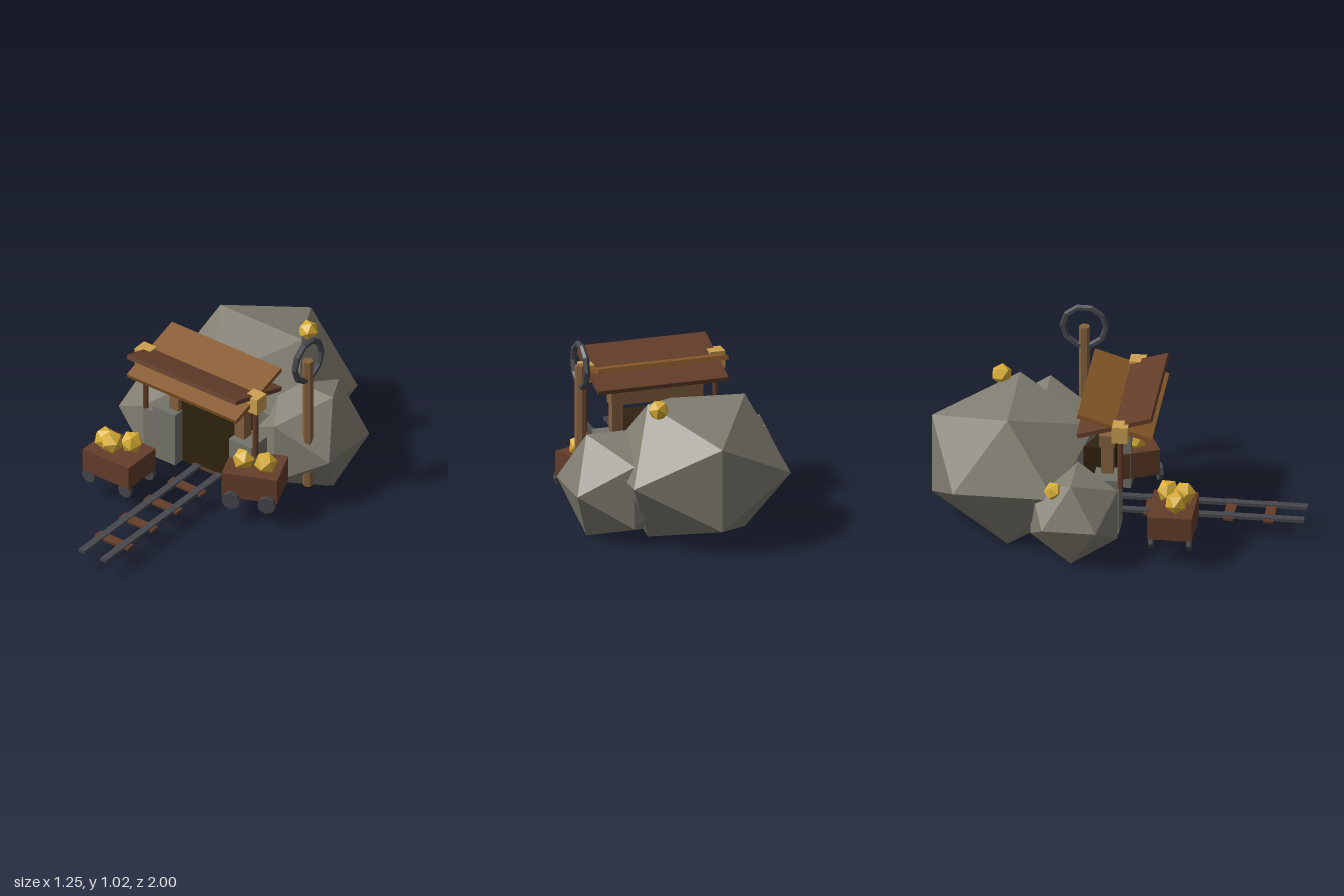
import * as THREE from 'three';

const mat = (name, color) => {
  const m = new THREE.MeshStandardMaterial({ color, flatShading: true });
  m.name = name;
  return m;
};

export function createModel() {
  const rock = mat('rock grey', 0x827e72);
  const stone = mat('stone block grey', 0x74736b);
  const gold = mat('gold', 0xd9ae35);
  const lampMat = mat('lamp yellow', 0xcda050);
  const timber = mat('pale timber', 0x86623f);
  const darkWood = mat('dark wood', 0x643e2a);
  const roofWood = mat('orange wood', 0x875829);
  const metal = mat('iron', 0x46474d);
  const hollow = mat('mine darkness', 0x30230f);

  const root = new THREE.Group();
  root.name = 'goldMine';

  const add = (name, geo, material, [x, y, z], parent = root) => {
    const m = new THREE.Mesh(geo, material);
    m.name = name;
    m.position.set(x, y, z);
    parent.add(m);
    return m;
  };
  const box = (name, w, h, d, material, pos, parent) =>
    add(name, new THREE.BoxGeometry(w, h, d), material, pos, parent);
  const nugget = (pos, r, turn) =>
    add('goldNugget', new THREE.IcosahedronGeometry(r, 0), gold, pos).rotation.set(turn, turn * 1.7, 0);

  // Rocks
  const bigRock = add('bigRock', new THREE.IcosahedronGeometry(0.517, 0), rock, [-0.06, 0.38, -0.56]);
  bigRock.scale.y = 0.85;
  add('leftSideRock', new THREE.IcosahedronGeometry(0.335, 0), rock, [0.34, 0.29, -0.435]);
  add('rightSideRock', new THREE.IcosahedronGeometry(0.274, 0), rock, [-0.392, 0.257, -0.195]);

  // Mine entrance
  box('tunnel', 0.374, 0.44, 0.205, hollow, [0, 0.325, -0.128]);
  for (const s of [-1, 1]) {
    box('entranceStone', 0.15, 0.32, 0.14, stone, [s * 0.255, 0.265, -0.032]);
    box('entrancePost', 0.062, 0.48, 0.064, timber, [s * 0.219, 0.345, -0.035]);
  }
  box('lintel', 0.515, 0.07, 0.084, timber, [0, 0.62, -0.037]);

  // Crossed roof boards
  const boards = [['roofBoardFront', darkWood, -0.3], ['roofBoardBack', roofWood, 0.3]];
  for (const [name, material, tilt] of boards)
    box(name, 0.73, 0.025, 0.417, material, [0, 0.765, 0.018]).rotation.x = tilt;

  // Roof supports with lamps
  for (const s of [-1, 1]) {
    add('roofSupport', new THREE.CylinderGeometry(0.015, 0.015, 0.31, 6), darkWood, [s * 0.367, 0.565, 0.05]);
    box('lamp', 0.085, 0.095, 0.085, lampMat, [s * 0.367, 0.747, 0.052]);
  }

  // Tall post with iron ring
  add('tallPost', new THREE.CylinderGeometry(0.03, 0.03, 0.795, 6), timber, [0.49, 0.503, -0.25]);
  add('ironRing', new THREE.TorusGeometry(0.117, 0.018, 6, 10), metal, [0.49, 0.9, -0.25]).rotation.y = Math.PI / 2;

  // Track
  for (const s of [-1, 1]) box('rail', 0.04, 0.018, 1.05, metal, [s * 0.072, 0.117, 0.475]);
  for (const z of [-0.045, 0.17, 0.38, 0.595, 0.81])
    box('sleeper', 0.22, 0.014, 0.055, darkWood, [0, 0.112, z]);

  // Ore carts
  const cart = (name, x, z, turn, bodyY, bodyH, wheelX, wheelZ, wheelR) => {
    const g = new THREE.Group();
    g.name = name;
    g.position.set(x, 0, z);
    g.rotation.y = turn;
    root.add(g);
    box('cartBody', 0.305, bodyH, 0.24, darkWood, [0, bodyY, 0], g);
    for (const sx of [-1, 1]) for (const sz of [-1, 1]) {
      const wheel = new THREE.CylinderGeometry(wheelR, wheelR, 0.024, 8).rotateX(Math.PI / 2);
      add('cartWheel', wheel, metal, [sx * wheelX, 0.105 + wheelR, sz * wheelZ], g);
    }
  };
  cart('rightCart', -0.333, 0.328, 0, 0.239, 0.134, 0.12, 0.102, 0.042);
  cart('leftCart', 0.338, 0.017, 0.4, 0.238, 0.15, 0.098, 0.13, 0.05);

  // Gold in the carts and on the rocks
  nugget([-0.405, 0.362, 0.355], 0.064, 0.3);
  nugget([-0.335, 0.383, 0.39], 0.064, 0.9);
  nugget([-0.275, 0.357, 0.295], 0.064, 1.6);
  nugget([0.285, 0.345, 0.045], 0.064, 0.5);
  nugget([0.405, 0.347, 0.01], 0.064, 1.2);
  nugget([0.183, 0.75, -0.655], 0.058, 0.4);
  nugget([-0.49, 0.43, -0.29], 0.055, 1.0);

  return root;
}
